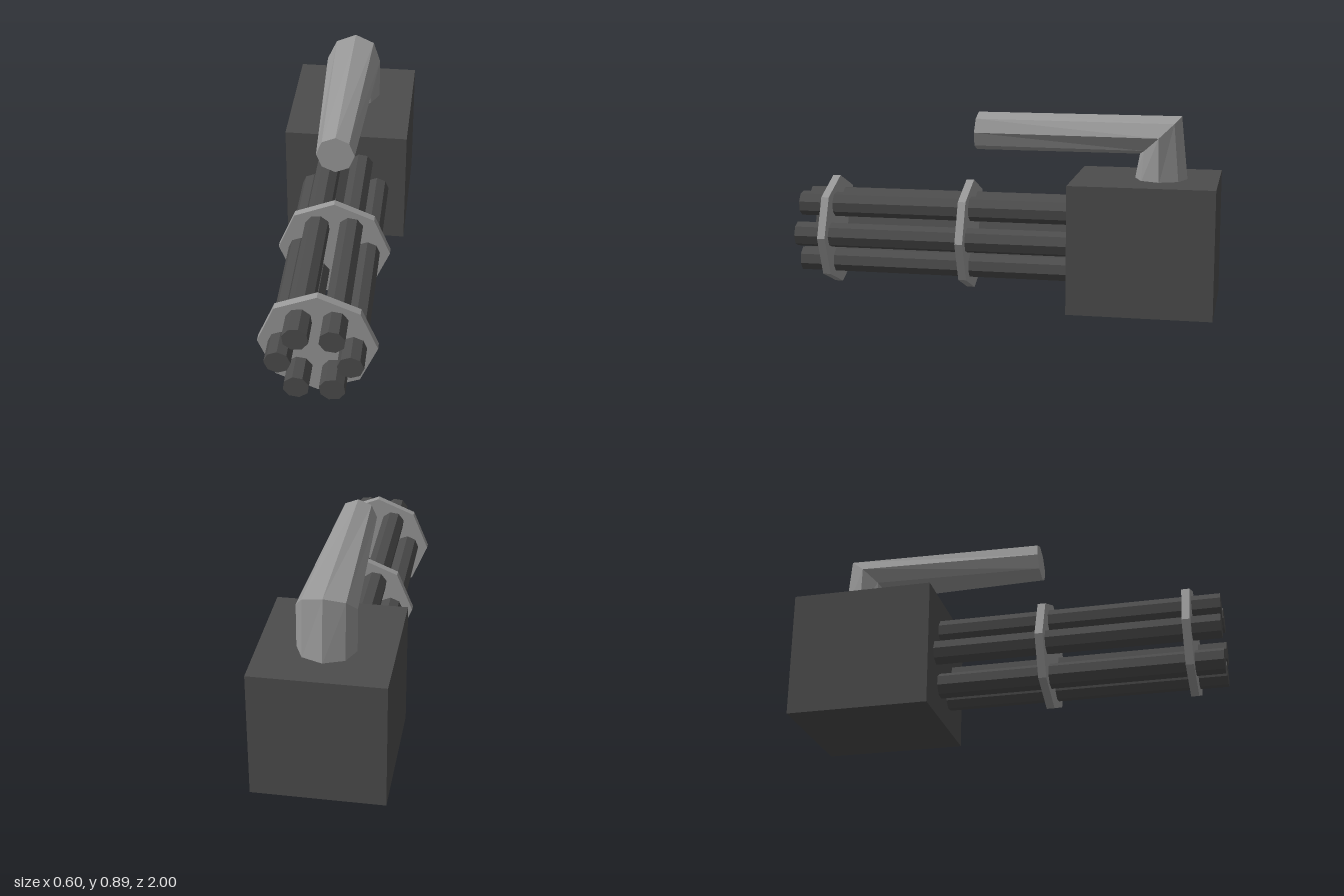
import * as THREE from 'three';

const SIDES = 8;
const AXIS_Y = 0.3;

const material = (color) => new THREE.MeshStandardMaterial({ color, flatShading: true });

function addMesh(parent, name, geometry, mat, x = 0, y = 0, z = 0) {
  const mesh = new THREE.Mesh(geometry, mat);
  mesh.name = name;
  mesh.position.set(x, y, z);
  parent.add(mesh);
  return mesh;
}

// Eight-sided rod lying along z
const rod = (radius, length) =>
  new THREE.CylinderGeometry(radius, radius, length, SIDES).rotateX(Math.PI / 2);

// Closed skin over a series of elliptical rings; ry and rz tilt each ring
function loft(rings) {
  const position = [];
  const point = ({ y, z, rx, ry, rz }, j) => {
    const a = (j / SIDES) * Math.PI * 2;
    return [rx * Math.cos(a), y + ry * Math.sin(a), z - rz * Math.sin(a)];
  };
  const first = rings[0];
  const last = rings[rings.length - 1];
  for (let j = 0; j < SIDES; j++) {
    for (let i = 0; i < rings.length - 1; i++) {
      const a = point(rings[i], j), b = point(rings[i], j + 1);
      const c = point(rings[i + 1], j + 1), d = point(rings[i + 1], j);
      position.push(...a, ...b, ...c, ...a, ...c, ...d);
    }
    position.push(0, first.y, first.z, ...point(first, j + 1), ...point(first, j));
    position.push(0, last.y, last.z, ...point(last, j), ...point(last, j + 1));
  }
  const geometry = new THREE.BufferGeometry();
  geometry.setAttribute('position', new THREE.Float32BufferAttribute(position, 3));
  geometry.computeVertexNormals();
  return geometry;
}

export function createModel() {
  const model = new THREE.Group();
  model.name = 'rotaryGun';
  const dark = material(0x4d4d4d);
  const light = material(0x999999);

  // Square housing at the back
  addMesh(model, 'housing', new THREE.BoxGeometry(0.6, 0.6, 0.67), dark, 0, 0.3, -0.665);

  // Six barrels in a ring, each turned with its place on the ring
  const barrels = new THREE.Group();
  barrels.name = 'barrels';
  barrels.position.set(0, AXIS_Y, 0.33);
  model.add(barrels);
  const barrelGeometry = rod(0.059, 1.34);
  for (let i = 0; i < 6; i++) {
    const a = (i * Math.PI) / 3;
    const barrel = addMesh(barrels, 'barrel', barrelGeometry, dark,
      0.158 * Math.cos(a), 0.158 * Math.sin(a), 0);
    barrel.rotation.z = a;
  }

  // Two plates clamping the barrels
  const plateGeometry = rod(0.265, 0.037);
  addMesh(model, 'frontPlate', plateGeometry, light, 0, AXIS_Y, 0.85);
  addMesh(model, 'middlePlate', plateGeometry, light, 0, AXIS_Y, 0.181);

  // Bent handle: upright stem, mitred elbow, tapered forward grip
  addMesh(model, 'handle', loft([
    { y: 0.59, z: -0.732, rx: 0.133, ry: 0, rz: 0.123 },
    { y: 0.803, z: -0.727, rx: 0.133, ry: 0.09, rz: 0.096 },
    { y: 0.803, z: 0.143, rx: 0.089, ry: 0.09, rz: 0.005 },
  ]), light);

  return model;
}
